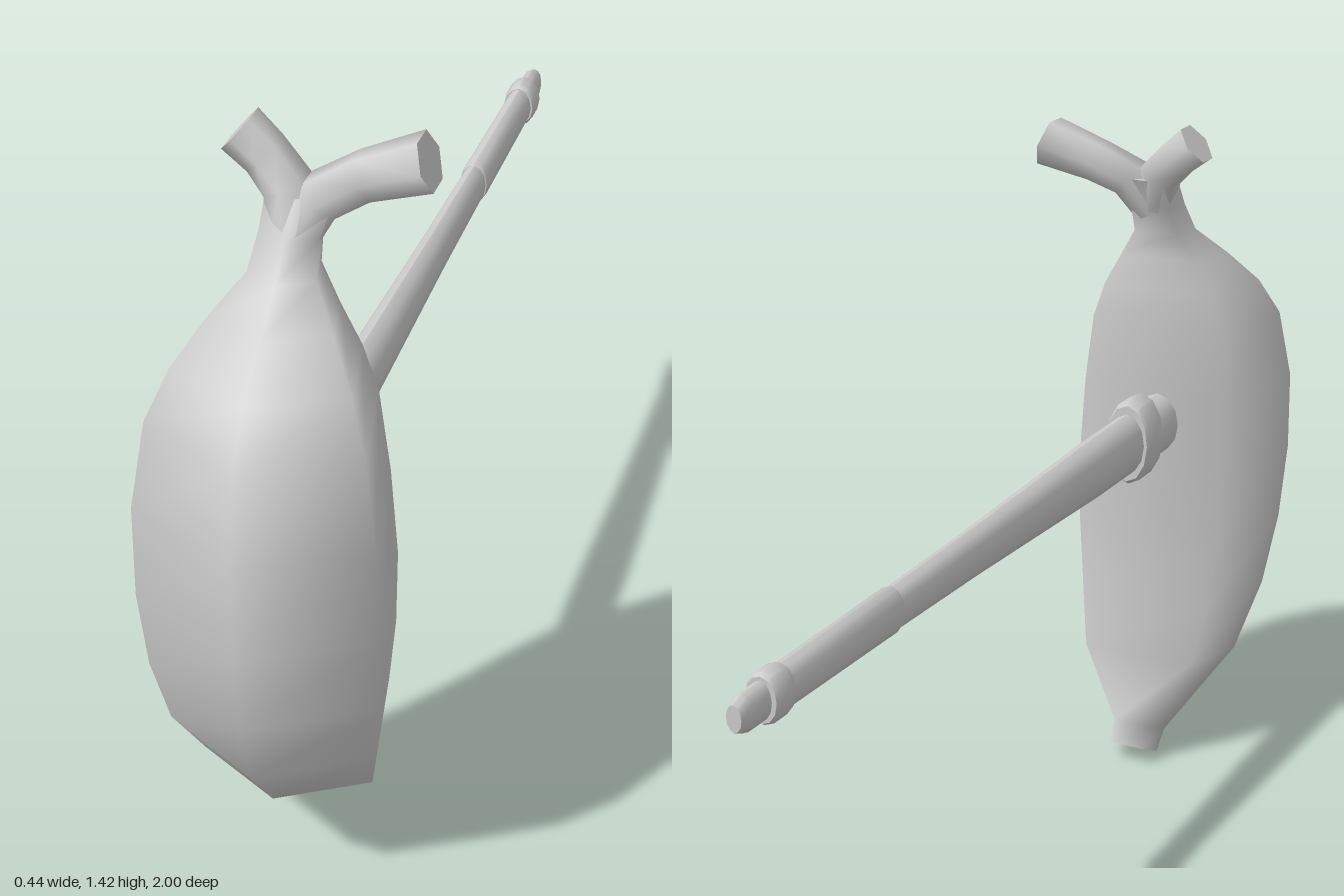
import * as THREE from 'three';
import { toCreasedNormals } from 'three/addons/utils/BufferGeometryUtils.js';

const material = new THREE.MeshStandardMaterial({ color: 0xcccccc, roughness: 0.7 });

function addMesh(group, name, geometry) {
  const mesh = new THREE.Mesh(geometry, material);
  mesh.name = name;
  group.add(mesh);
}

// Smooth skin over rings of corners (counter-clockwise about the travel direction), flat end caps
function loft(rings) {
  const n = rings[0].length;
  const points = rings.flat();
  const index = [];
  for (let i = 0; i < rings.length - 1; i++) {
    for (let j = 0; j < n; j++) {
      const k = (j + 1) % n;
      const a = i * n + j, b = i * n + k, c = a + n, d = b + n;
      index.push(a, b, d, a, d, c);
    }
  }
  [rings[0].slice().reverse(), rings[rings.length - 1]].forEach((cap) => {
    const start = points.length;
    points.push(...cap);
    for (let j = 1; j < n - 1; j++) index.push(start, start + j, start + j + 1);
  });
  const geometry = new THREE.BufferGeometry().setFromPoints(points);
  geometry.setIndex(index);
  geometry.computeVertexNormals();
  return geometry;
}

// Five-sided fruit section: front ridge, two side ridges, two back corners
function fruitRing([y, front, back, x0, x1, tilt = 0]) {
  const cx = (x0 + x1) / 2, w = (x1 - x0) / 2;
  const side = front - (front - back) * 0.33, mid = (front + back) / 2;
  return [[0, front], [1, side], [0.78, back], [-0.78, back], [-1, side]].map(
    ([u, z]) => new THREE.Vector3(cx + u * w, y + tilt * (z - mid), z));
}

// Six-sided stem along a few centres [x, y, z, radius]
function stem(path) {
  const centres = path.map(([x, y, z]) => new THREE.Vector3(x, y, z));
  const u = new THREE.Vector3(0, 0, 1);
  return loft(centres.map((c, i) => {
    const next = centres[Math.min(i + 1, centres.length - 1)];
    const dir = next.clone().sub(centres[Math.max(i - 1, 0)]).setZ(0).normalize();
    const v = dir.cross(u);
    return Array.from({ length: 6 }, (_, j) => {
      const a = (j / 6) * Math.PI * 2, r = path[i][3];
      return c.clone().addScaledVector(u, r * Math.cos(a)).addScaledVector(v, r * Math.sin(a));
    });
  }));
}

// Oval turned part along the pole axis; profile is [radius, z] from front to back
function turned(profile, flatten) {
  const points = profile.map(([r, z]) => new THREE.Vector2(r, -z));
  points.unshift(new THREE.Vector2(0, points[0].y));
  points.push(new THREE.Vector2(0, points[points.length - 1].y));
  const geometry = new THREE.LatheGeometry(points, 12);
  geometry.scale(flatten, 1, 1);
  geometry.rotateX(-Math.PI / 2);
  geometry.translate(-0.015, 0.757, 0);
  return toCreasedNormals(geometry, 0.7);
}

export function createModel() {
  const model = new THREE.Group();
  model.name = 'bananaOnPole';

  // Curved fruit from tip to neck: y, front z, back z, min x, max x, tilt
  const fruit = new THREE.Group();
  fruit.name = 'banana';
  model.add(fruit);
  addMesh(fruit, 'fruitBody', loft([
    [0.03, 0.575, 0.49, -0.07, 0.027, -0.47],
    [0.075, 0.595, 0.515, -0.077, 0.03, -0.45],
    [0.22, 0.83, 0.575, -0.165, 0.155, -0.1],
    [0.35, 0.935, 0.61, -0.193, 0.187],
    [0.5, 0.985, 0.63, -0.21, 0.211],
    [0.66, 1.0, 0.64, -0.22, 0.22],
    [0.83, 0.98, 0.635, -0.224, 0.205],
    [0.98, 0.925, 0.62, -0.21, 0.175],
    [1.06, 0.855, 0.612, -0.18, 0.137],
    [1.13, 0.76, 0.602, -0.135, 0.085],
    [1.19, 0.68, 0.58, -0.086, 0.035],
    [1.25, 0.637, 0.553, -0.077, 0.03],
    [1.31, 0.598, 0.525, -0.075, 0.045],
  ].map(fruitRing)));

  // Forked stalk
  addMesh(fruit, 'rightStem', stem([
    [-0.025, 1.24, 0.592, 0.042], [-0.042, 1.315, 0.56, 0.045],
    [-0.085, 1.358, 0.545, 0.043], [-0.13, 1.395, 0.54, 0.046],
  ]));
  addMesh(fruit, 'leftStem', stem([
    [-0.02, 1.23, 0.595, 0.042], [0.018, 1.303, 0.56, 0.046],
    [0.085, 1.338, 0.535, 0.045], [0.19, 1.372, 0.518, 0.053],
  ]));

  // Oval pole with its fittings
  const pole = new THREE.Group();
  pole.name = 'pole';
  model.add(pole);
  addMesh(pole, 'socket', turned([[0.065, 0.68], [0.065, 0.54]], 0.72));
  addMesh(pole, 'ring', turned(
    [[0.084, 0.56], [0.092, 0.55], [0.092, 0.49], [0.084, 0.48]], 0.56));
  addMesh(pole, 'shaft', turned(
    [[0.065, 0.5], [0.064, 0.3], [0.056, 0.05], [0.048, -0.2], [0.042, -0.52]], 0.62));
  addMesh(pole, 'grip', turned(
    [[0.043, -0.495], [0.046, -0.502], [0.042, -0.88]], 0.66));
  addMesh(pole, 'collar', turned(
    [[0.044, -0.86], [0.049, -0.87], [0.049, -0.91], [0.043, -0.92]], 0.72));
  addMesh(pole, 'endKnob', turned(
    [[0.036, -0.9], [0.036, -0.975], [0.025, -1.0]], 0.6));

  return model;
}
